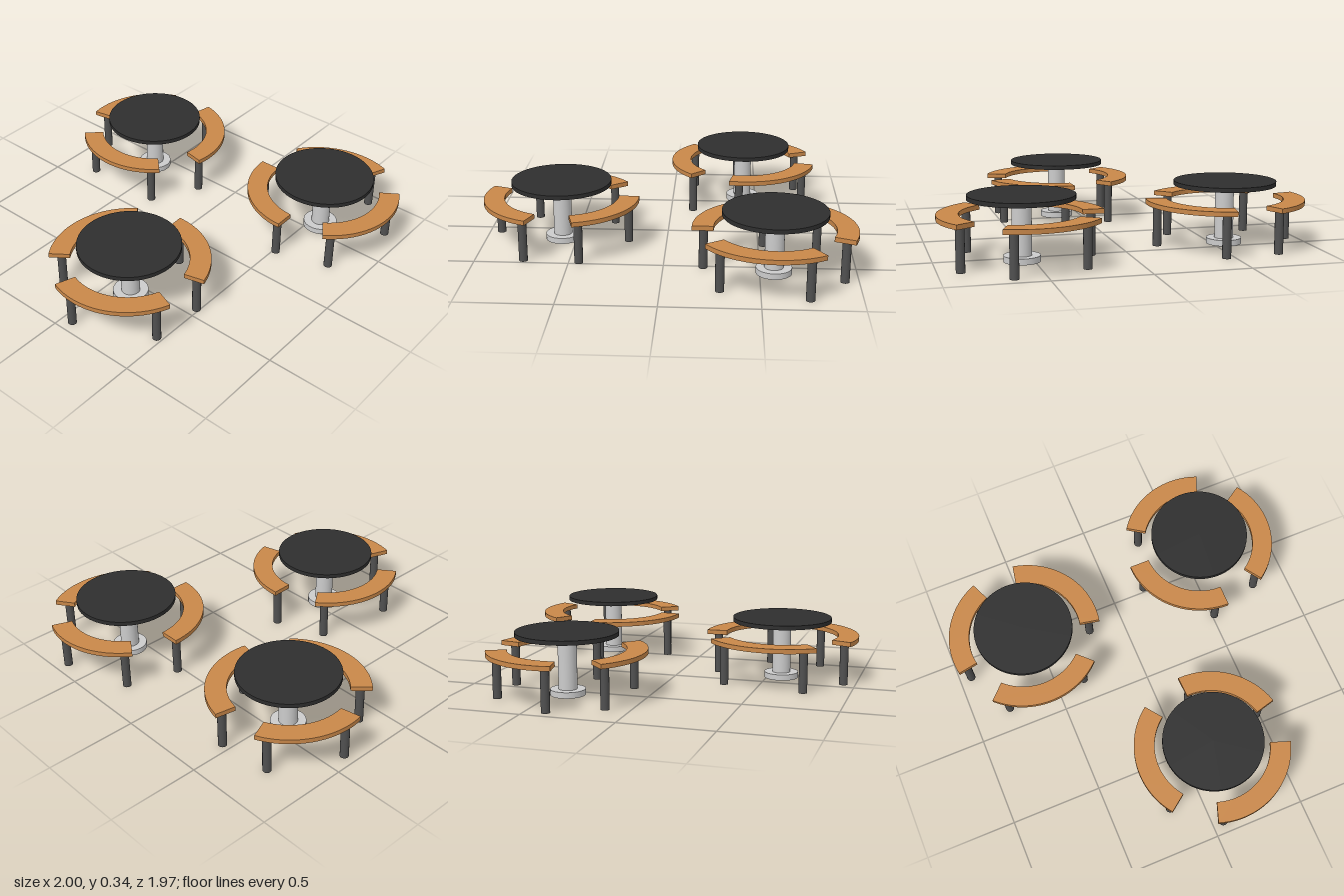
import * as THREE from 'three';

const rad = THREE.MathUtils.degToRad;
const black = new THREE.MeshStandardMaterial({ color: 0x2e2e2e });
const wood = new THREE.MeshStandardMaterial({ color: 0xc88749 });
const darkMetal = new THREE.MeshStandardMaterial({ color: 0x505050 });
const grey = new THREE.MeshStandardMaterial({ color: 0xcccccc });

const INNER = 0.312, OUTER = 0.424;   // bench radii
const SEAT_BOTTOM = 0.223, SEAT_TOP = 0.248;

// Upright cylinder between two heights
function post(name, radius, y0, y1, sides, material) {
  const geo = new THREE.CylinderGeometry(radius, radius, y1 - y0, sides);
  geo.translate(0, (y0 + y1) / 2, 0);
  const mesh = new THREE.Mesh(geo, material);
  mesh.name = name;
  return mesh;
}

// Curved bench covering an arc around the table, with a leg near each end
function createBench(start, span) {
  const bench = new THREE.Group();
  bench.name = 'bench';
  const a0 = rad(start), a1 = rad(start + span);

  const arc = new THREE.Shape();
  arc.absarc(0, 0, OUTER, a0, a1, false);
  arc.absarc(0, 0, INNER, a1, a0, true);
  arc.closePath();
  const geo = new THREE.ExtrudeGeometry(arc, {
    depth: SEAT_TOP - SEAT_BOTTOM, bevelEnabled: false, curveSegments: 24,
  });
  geo.rotateX(-Math.PI / 2);
  geo.translate(0, SEAT_BOTTOM, 0);
  const seat = new THREE.Mesh(geo, wood);
  seat.name = 'benchSeat';
  bench.add(seat);

  const mid = (INNER + OUTER) / 2;
  for (const t of [0.08, 0.92]) {
    const a = a0 + (a1 - a0) * t;
    const leg = post('benchLeg', 0.023, 0, SEAT_BOTTOM, 16, darkMetal);
    leg.position.set(mid * Math.cos(a), 0, -mid * Math.sin(a));
    bench.add(leg);
  }
  return bench;
}

// Round pedestal table ringed by three benches
function createTableSet(x, z, turn) {
  const set = new THREE.Group();
  set.name = 'tableSet';
  set.add(
    post('tableTop', 0.272, 0.319, 0.342, 64, black),
    post('pedestalColumn', 0.05, 0.032, 0.319, 32, grey),
    post('pedestalBase', 0.094, 0, 0.032, 32, grey),
  );
  // The third bench is shorter; all gaps are equal
  for (const [start, span] of [[0, 90], [124, 90], [248, 78]]) {
    set.add(createBench(start, span));
  }
  set.position.set(x, 0, z);
  set.rotation.y = rad(turn);
  return set;
}

export function createModel() {
  const model = new THREE.Group();
  model.name = 'picnicTables';
  model.add(
    createTableSet(0.42, -0.567, 135),
    createTableSet(-0.576, 0.14, 36.5),
    createTableSet(0.573, 0.56, 90),
  );
  return model;
}
